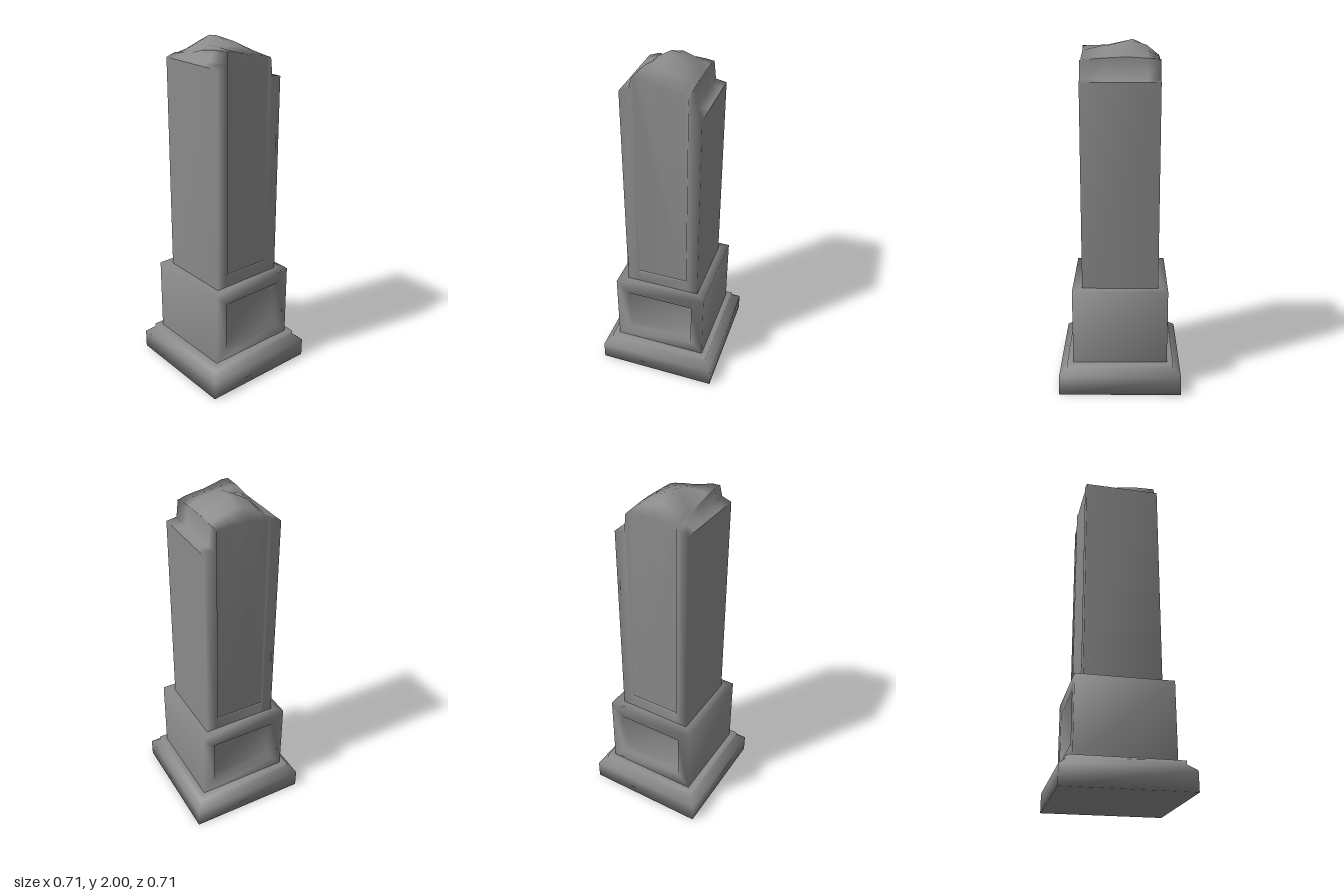
import * as THREE from 'three';
import { mergeVertices } from 'three/addons/utils/BufferGeometryUtils.js';

const material = new THREE.MeshStandardMaterial({ color: 0x8a8a8a });

// Collects triangles; shared corners are welded so shading runs softly over the edges
class Surface {
  points = [];

  tri(a, b, c, flip = false) {
    this.points.push(...a, ...(flip ? c : b), ...(flip ? b : c));
  }

  quad(a, b, c, d, flip = false) {
    this.tri(a, b, c, flip);
    this.tri(a, c, d, flip);
  }

  // Joins four-cornered rings one after another
  loft(rings) {
    for (let k = 0; k + 1 < rings.length; k++) {
      for (let i = 0; i < 4; i++) {
        const n = (i + 1) % 4;
        this.quad(rings[k][i], rings[k][n], rings[k + 1][n], rings[k + 1][i]);
      }
    }
  }

  mesh(name) {
    const geo = new THREE.BufferGeometry();
    geo.setAttribute('position', new THREE.Float32BufferAttribute(this.points, 3));
    const welded = mergeVertices(geo);
    welded.computeVertexNormals();
    const mesh = new THREE.Mesh(welded, material);
    mesh.name = name;
    return mesh;
  }
}

// Horizontal square ring, and upright rectangle (turn -1 puts it on the back)
const square = (h, y) => [[-h, y, h], [h, y, h], [h, y, -h], [-h, y, -h]];
const upright = (w, y0, y1, z, turn) =>
  [[-w, y0], [w, y0], [w, y1], [-w, y1]].map(([x, y]) => [x * turn, y, z * turn]);

// Plinth with sloped shoulder and thin step
function plinth() {
  const s = new Surface();
  const rings = [[0.355, 0], [0.355, 0.11], [0.31, 0.15], [0.31, 0.17], [0.275, 0.17]]
    .map(([h, y]) => square(h, y));
  s.loft(rings);
  s.quad(...rings[0], true);
  return s.mesh('plinth');
}

// Pedestal with a recess in front and back
function pedestal() {
  const s = new Surface();
  const h = 0.275, y0 = 0.17, y1 = 0.615, inner = h - 0.05;
  for (const turn of [1, -1]) {
    const recess = upright(0.2, 0.25, 0.54, inner, turn);
    s.loft([upright(h, y0, y1, h, turn), upright(0.2, 0.25, 0.54, h, turn), recess]);
    s.quad(...recess);
    const x = h * turn;
    s.quad([x, y0, x], [x, y0, -x], [x, y1, -x], [x, y1, x]);
  }
  s.loft([square(h, y1), square(0.2, y1)]);
  return s.mesh('pedestal');
}

// Shaft: inset centre panels between two side pillars, broken off unevenly at the top
function shaft() {
  const s = new Surface();
  const y0 = 0.615, edge = 0.22, inset = 0.213;
  const depths = [-1, -0.68, -0.32, 0, 0.45, 1];
  const leftRim = [1.90, 1.91, 1.92, 1.94, 1.955, 1.96];
  const rightRim = [1.905, 1.91, 1.915, 1.915, 1.91, 1.90];
  const level = y => depths.map(() => y);
  // x, half depth, top heights from back to front
  const columns = [
    [-0.22, edge, level(1.88)],
    [-0.165, edge, level(1.90)],
    [-0.15, edge, leftRim],
    [-0.146, inset, leftRim],
    [-0.11, inset, [1.905, 1.935, 1.96, 1.965, 1.965, 1.96]],
    [-0.04, inset, [1.915, 1.965, 2.0, 1.985, 1.965, 1.94]],
    [0, inset, [1.915, 1.97, 1.995, 1.985, 1.96, 1.93]],
    [0.07, inset, [1.915, 1.945, 1.97, 1.965, 1.945, 1.92]],
    [0.12, inset, [1.91, 1.925, 1.935, 1.935, 1.925, 1.91]],
    [0.145, inset, rightRim],
    [0.148, edge, rightRim],
    [0.16, edge, level(1.80)],
    [0.22, edge, level(1.79)],
  ];
  const last = columns.length - 1, first = 3, end = 9;
  const top = (i, j) => [columns[i][0], columns[i][2][j], columns[i][1] * depths[j]];
  const low = (i, j) => [columns[i][0], y0, columns[i][1] * depths[j]];

  // Weathered top
  for (let i = 0; i < last; i++) {
    for (let j = 0; j < 5; j++) {
      s.quad(top(i, j), top(i, j + 1), top(i + 1, j + 1), top(i + 1, j));
    }
  }

  // Front and back: pillar strips, a large panel and the sill under it
  for (const j of [0, 5]) {
    const flip = j === 0;
    for (let i = 0; i < last; i++) {
      if (i >= first && i < end) s.tri(low(end, j), top(i + 1, j), top(i, j), flip);
      else s.quad(low(i, j), low(i + 1, j), top(i + 1, j), top(i, j), flip);
    }
    s.tri(low(first, j), low(end, j), top(first, j), flip);
    const [l, r] = [low(first - 1, j), low(end + 1, j)];
    const [pl, pr] = [low(first, j), low(end, j)];
    const raise = ([x, , z], y) => [x, y, z];
    s.quad(l, r, raise(r, 0.685), raise(l, 0.685), flip);
    s.quad(raise(l, 0.685), raise(r, 0.685), raise(pr, 0.69), raise(pl, 0.69), flip);
  }

  // Flat outer sides
  s.quad(low(0, 0), low(0, 5), top(0, 5), top(0, 0));
  s.quad(low(last, 5), low(last, 0), top(last, 0), top(last, 5));
  return s.mesh('shaft');
}

export function createModel() {
  const model = new THREE.Group();
  model.add(plinth(), pedestal(), shaft());
  return model;
}
